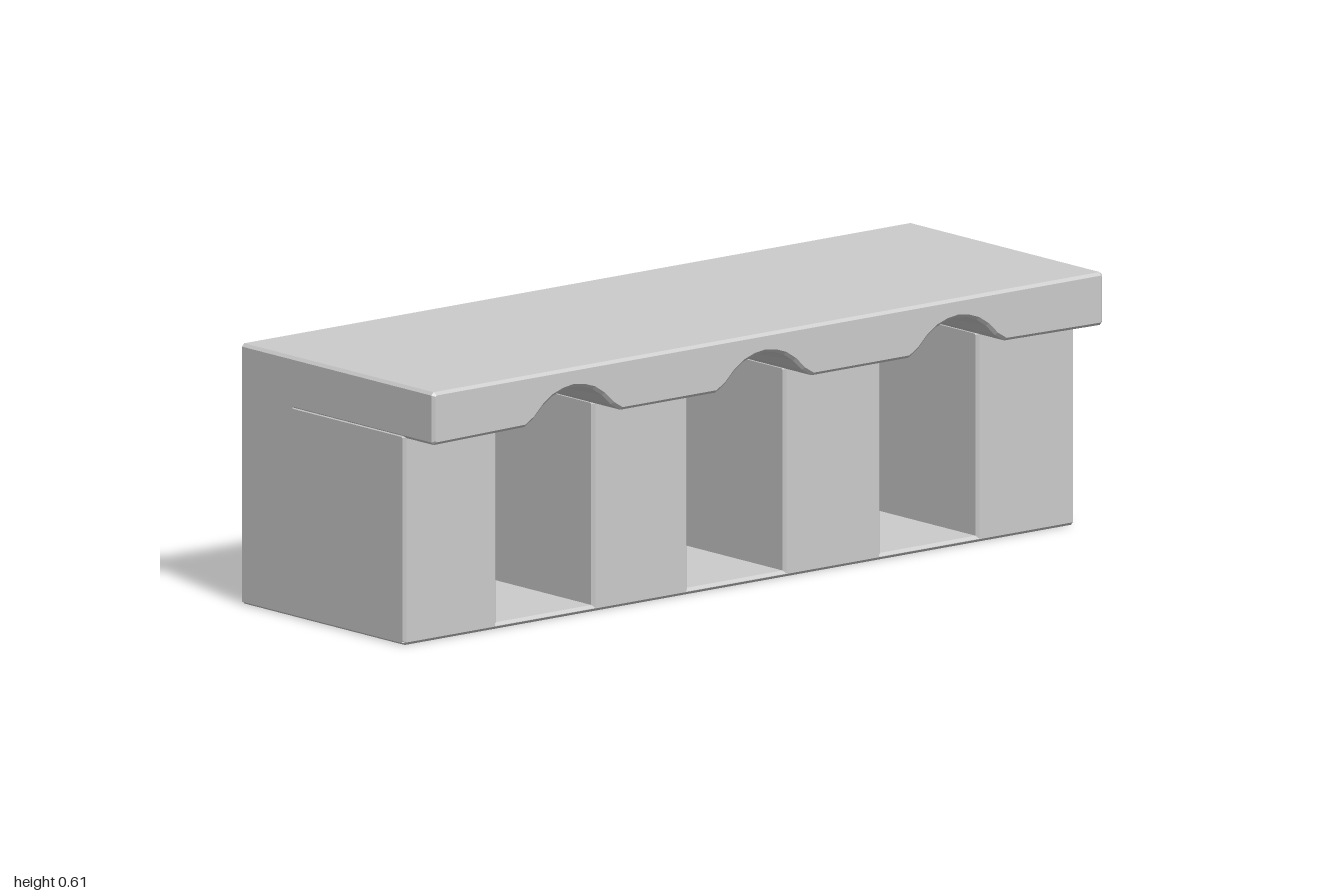
import * as THREE from 'three';

const material = new THREE.MeshStandardMaterial({ color: 0xcccccc });
const BEVEL = 0.007;
const NICHE_BACK = -0.15;
const NICHES = [-0.565, 0.01, 0.58]; // z centres
const HALF = 0.143; // half width of a niche

// Extrude an outline with a small chamfer kept inside its size
function chamferExtrude(points, length) {
  const shape = new THREE.Shape(points.map(([u, v]) => new THREE.Vector2(u, v)));
  const geometry = new THREE.ExtrudeGeometry(shape, {
    depth: length - 2 * BEVEL, bevelEnabled: true, bevelSegments: 1,
    bevelSize: BEVEL, bevelThickness: BEVEL, bevelOffset: -BEVEL,
  });
  return geometry.translate(0, 0, BEVEL);
}

// Box with chamfered edges between two corners
function chamferBox(name, x0, x1, y0, y1, z0, z1) {
  const b = BEVEL;
  const geometry = chamferExtrude([
    [x0 + b, y0], [x1 - b, y0], [x1, y0 + b], [x1, y1 - b],
    [x1 - b, y1], [x0 + b, y1], [x0, y1 - b], [x0, y0 + b],
  ], z1 - z0).translate(0, 0, z0);
  const mesh = new THREE.Mesh(geometry, material);
  mesh.name = name;
  return mesh;
}

// Overhanging top whose underside is scooped out above every niche
function createTop() {
  const b = BEVEL, low = 0.486, high = 0.61;
  const halfArch = [[HALF, low + 0.004], [0.115, 0.507], [0.088, 0.533], [0.06, 0.551], [0.03, 0.561]];
  const arch = [
    ...halfArch.map(([u, y]) => [-u, y]), [0, 0.565],
    ...halfArch.slice().reverse(),
  ];
  const outline = [[-1, low + b], [-1 + b, low]];
  for (const c of [...NICHES].reverse()) {
    for (const [u, y] of arch) outline.push([u - c, y]);
  }
  outline.push([1 - b, low], [1, low + b], [1, high - b], [1 - b, high], [-1 + b, high], [-1, high - b]);
  const geometry = chamferExtrude(outline, 0.69);
  geometry.rotateY(Math.PI / 2).translate(-0.345, 0, 0);

  // Lower the arches gradually towards the back of the niches
  const p = geometry.attributes.position;
  for (let i = 0; i < p.count; i++) {
    const y = p.getY(i);
    if (y > 0.495 && y < 0.58) p.setY(i, y - (y - 0.49) * 1.08 * (0.345 - p.getX(i)));
  }
  geometry.computeVertexNormals();
  const mesh = new THREE.Mesh(geometry, material);
  mesh.name = 'archedTop';
  return mesh;
}

export function createModel() {
  const group = new THREE.Group();
  group.name = 'counter';

  group.add(createTop());
  group.add(chamferBox('backBody', -0.345, NICHE_BACK, 0, 0.6, -1, 1));
  group.add(chamferBox('nicheFloor', -0.345, 0.242, 0, 0.015, -1, 1));

  // Piers standing between and beside the niches
  const edges = [-1, ...NICHES.flatMap((c) => [c - HALF, c + HALF]), 1];
  for (let i = 0; i < edges.length; i += 2) {
    group.add(chamferBox('pier', NICHE_BACK - 0.03, 0.242, 0, 0.495, edges[i], edges[i + 1]));
  }
  return group;
}
